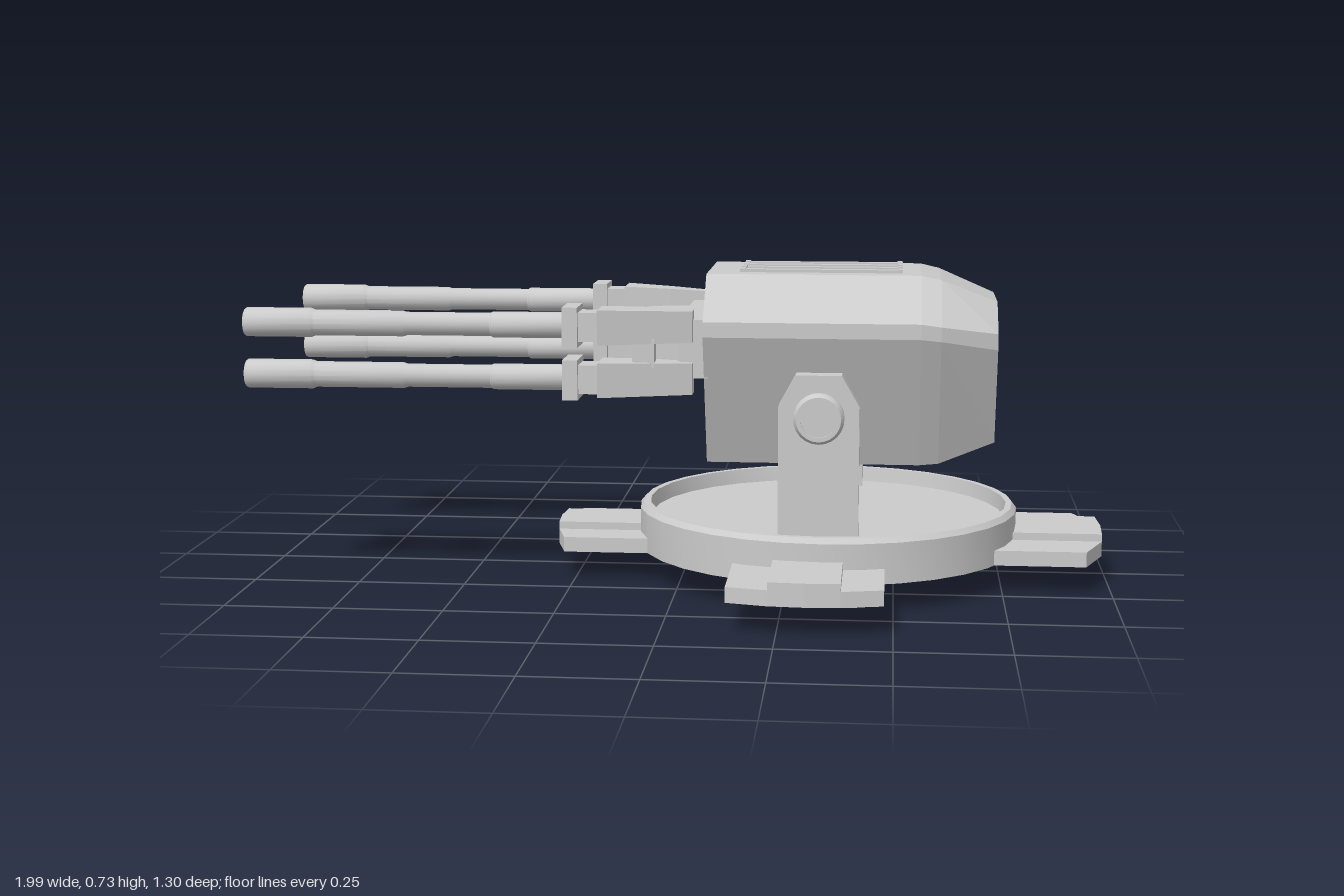
import * as THREE from 'three';
import { toCreasedNormals } from 'three/addons/utils/BufferGeometryUtils.js';
import { ConvexGeometry } from 'three/addons/geometries/ConvexGeometry.js';

const mat = new THREE.MeshStandardMaterial({ color: 0xcccccc });
const CX = 0.34; // turntable centre

function add(parent, name, geo, x = 0, y = 0, z = 0) {
  const m = new THREE.Mesh(geo, mat);
  m.name = name;
  m.position.set(x, y, z);
  parent.add(m);
  return m;
}
const box = (parent, name, x0, x1, y0, y1, z0, z1) =>
  add(parent, name, new THREE.BoxGeometry(x1 - x0, y1 - y0, z1 - z0), (x0 + x1) / 2, (y0 + y1) / 2, (z0 + z1) / 2);
const lathe = (pts, seg) =>
  toCreasedNormals(new THREE.LatheGeometry(pts.map(p => new THREE.Vector2(...p)), seg), 0.5);
const extrude = (pts, depth) =>
  new THREE.ExtrudeGeometry(new THREE.Shape(pts.map(p => new THREE.Vector2(...p))), { depth, bevelEnabled: false });

// Foot: curved outer edge, with a raised middle strip
function foot(parent, name, x, angle, half, corner, end) {
  const g = new THREE.Group();
  g.name = name;
  const c = half * 0.46;
  const mid = end - 0.005;
  const low = extrude([[0.36, -half], [corner, -half], [mid, -c], [end, 0], [mid, c], [corner, half], [0.36, half]], 0.035);
  const high = extrude([[0.36, -c], [mid, -c], [end, 0], [mid, c], [0.36, c]], 0.052);
  add(g, 'footPlate', low.rotateX(-Math.PI / 2), 0, 0.065);
  add(g, 'footRaisedStrip', high.rotateX(-Math.PI / 2), 0, 0.0655);
  g.position.x = x;
  g.rotation.y = angle;
  parent.add(g);
}

// Hull cross-section at x: half of a tapered octagon, mirrored in z
const section = (x, half) =>
  half.flatMap(([z, y]) => [new THREE.Vector3(x, y, z), new THREE.Vector3(x, y, -z)]);

// One gun with its tapered mount, collar and stepped hollow barrel
function gun(parent, side, y) {
  const g = new THREE.Group();
  g.name = 'gun';
  const pts = [];
  for (const [x, z0, z1, y0, y1] of [[0.035, 0.2, 0.31, -0.04, 0.032], [-0.06, 0.2, 0.31, -0.04, 0.037], [-0.175, 0.212, 0.318, -0.04, 0.04]])
    for (const z of [z0, z1]) for (const yy of [y0, y1]) {
      // inner side leans outward toward the barrel
      const t = (0.035 - x) / 0.21;
      const zz = z === z0 ? z : z1 - 0.008 * t - (1 - t) * 0.07;
      pts.push(new THREE.Vector3(x, yy, side * zz));
    }
  add(g, 'gunMount', new ConvexGeometry(pts));
  box(g, 'gunNeck', -0.225, -0.17, -0.033, 0.033, side * 0.262 - 0.036, side * 0.262 + 0.036);
  box(g, 'gunCollar', -0.255, -0.22, -0.046, 0.046, side * 0.262 - 0.05, side * 0.262 + 0.05);
  const barrel = lathe([[0, 0.25], [0.03, 0.25], [0.03, 0.42], [0.027, 0.425], [0.027, 0.62], [0.03, 0.63],
    [0.03, 0.835], [0.034, 0.845], [0.034, 0.995], [0.031, 1], [0.023, 1], [0.023, 0.93], [0, 0.93]], 16);
  add(g, 'barrel', barrel.rotateZ(Math.PI / 2), 0, 0, side * 0.262);
  g.position.y = y;
  parent.add(g);
}

export function createModel() {
  const root = new THREE.Group();
  root.name = 'turret';

  // Round base with raised rim
  add(root, 'turntable', lathe([[0, 0.065], [0.45, 0.065], [0.45, 0.158], [0.44, 0.17], [0.425, 0.17],
    [0.42, 0.135], [0, 0.135]], 32), CX);
  foot(root, 'rearFoot', CX, 0, 0.22, 0.6, 0.65);
  foot(root, 'muzzleSideFoot', CX, Math.PI, 0.17, 0.615, 0.645);
  foot(root, 'leftFoot', 0.31, -Math.PI / 2, 0.17, 0.625, 0.652);
  foot(root, 'rightFoot', 0.31, Math.PI / 2, 0.17, 0.625, 0.652);

  // Support posts with the axle ends
  for (const s of [1, -1]) {
    const post = extrude([[0.24, 0], [0.42, 0], [0.42, 0.455], [0.38, 0.525], [0.278, 0.525], [0.24, 0.455]], 0.045);
    add(root, 'supportPost', post, 0, 0, s > 0 ? 0.345 : -0.39);
    const axle = lathe([[0, 0.1], [0.057, 0.1], [0.057, 0.405], [0.05, 0.416], [0.04, 0.416], [0.04, 0.41], [0, 0.41]], 24);
    add(root, 'axle', axle.rotateX(s * Math.PI / 2), 0.33, 0.43, 0);
  }

  // Gun housing
  const full = [[0.155, 0.725], [0.26, 0.625], [0.26, 0.59], [0.133, 0.28]];
  const hull = [
    ...section(0.06, full),
    ...section(0.555, full),
    ...section(0.6, [[0.15, 0.715], [0.252, 0.618], [0.252, 0.585], [0.131, 0.284]]),
    ...section(0.73, [[0.105, 0.662], [0.192, 0.597], [0.192, 0.56], [0.105, 0.332]]),
  ];
  add(root, 'housing', new ConvexGeometry(hull));

  // Vent ridges on the roof
  for (let i = 0; i < 4; i++) {
    const z = -0.094 + i * 0.062;
    box(root, 'ventRidge', 0.135, 0.51, 0.72, 0.732, z - 0.012, z + 0.012);
    for (const x of [0.135, 0.5]) box(root, 'ventEnd', x, x + 0.012, 0.72, 0.734, z - 0.016, z + 0.016);
  }

  // Gun carrier between the mounts
  box(root, 'carrierNeck', 0, 0.07, 0.49, 0.625, -0.22, 0.22);
  const carrier = [];
  for (const y of [0.49, 0.615])
    for (const [x, z] of [[0.01, 0.17], [-0.09, 0.15], [-0.11, 0.13]])
      carrier.push(new THREE.Vector3(x, y, z), new THREE.Vector3(x, y, -z));
  add(root, 'gunCarrier', new ConvexGeometry(carrier));
  for (const s of [1, -1]) {
    box(root, 'mountLink', -0.1, -0.05, 0.52, 0.585, s * 0.245 - 0.025, s * 0.245 + 0.025);
    for (const y of [0.615, 0.495]) gun(root, s, y);
  }
  return root;
}
